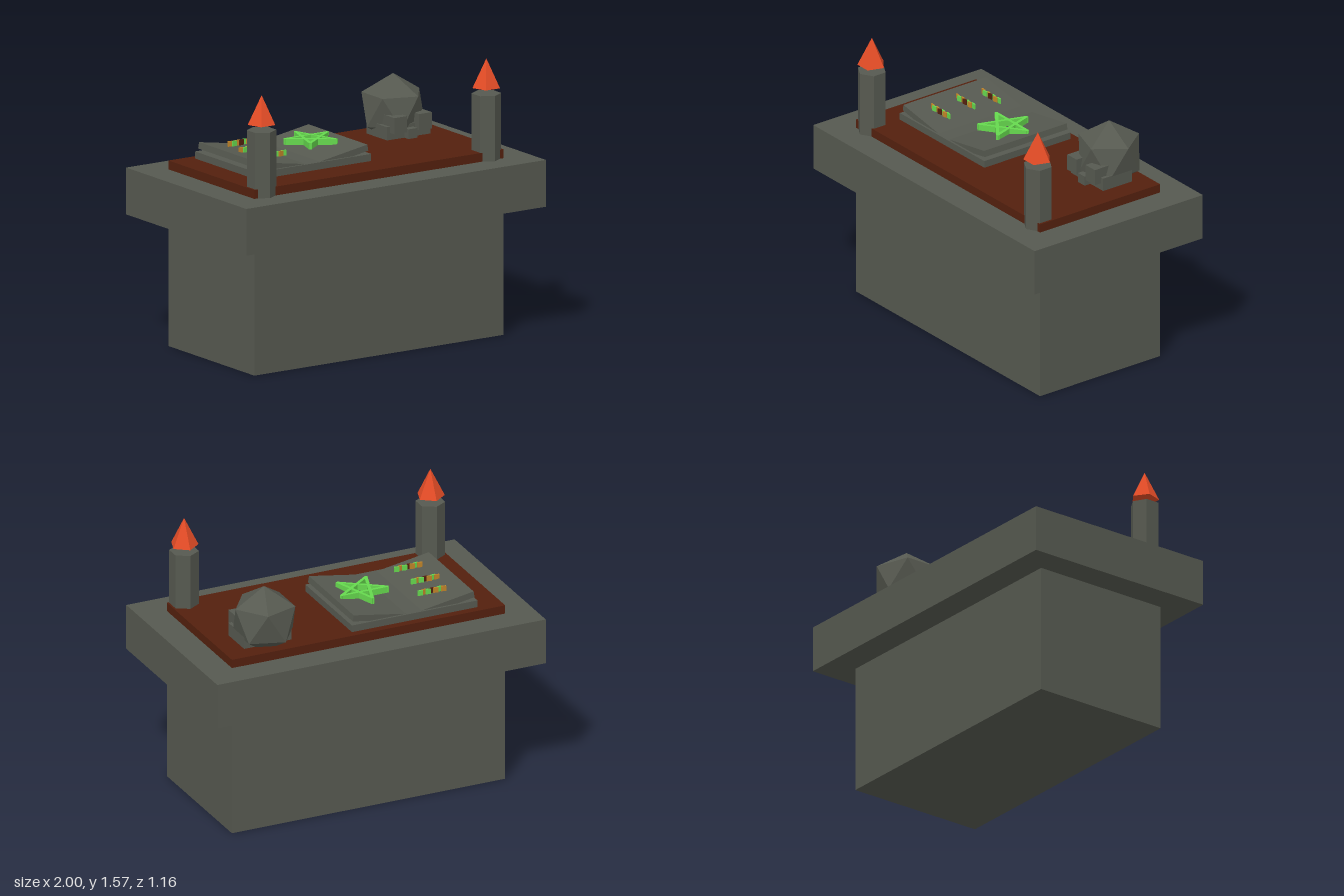
import * as THREE from 'three';

const mat = (name, color) => {
  const m = new THREE.MeshStandardMaterial({ color });
  m.name = name;
  m.flatShading = true;
  return m;
};

export function createModel() {
  const stone = mat('grey stone', 0x565950);
  const cloth = mat('dark red cloth', 0x54200e);
  const flame = mat('flame orange', 0xe44c26);
  const green = mat('glowing green', 0x66d84e);
  const amber = mat('amber', 0xc08428);

  const model = new THREE.Group();
  model.name = 'altar';

  const add = (parent, name, geometry, material, x, y, z) => {
    const m = new THREE.Mesh(geometry, material);
    m.name = name;
    m.position.set(x, y, z);
    parent.add(m);
    return m;
  };
  // Box given by its extents on each axis
  const box = (parent, name, material, [x0, x1], [y0, y1], [z0, z1]) =>
    add(parent, name, new THREE.BoxGeometry(x1 - x0, y1 - y0, z1 - z0), material,
      (x0 + x1) / 2, (y0 + y1) / 2, (z0 + z1) / 2);
  const group = (name) => {
    const g = new THREE.Group();
    g.name = name;
    model.add(g);
    return g;
  };

  // Altar body
  box(model, 'base', stone, [-0.832, 0.832], [0, 0.735], [-0.416, 0.416]);
  box(model, 'topSlab', stone, [-1, 1], [0.735, 1], [-0.582, 0.582]);
  box(model, 'altarCloth', cloth, [-0.832, 0.832], [1, 1.05], [-0.416, 0.416]);

  // Candles with floating five-sided flames
  for (const side of [-1, 1]) {
    const candle = group(side > 0 ? 'leftCandle' : 'rightCandle');
    add(candle, 'candleStick', new THREE.CylinderGeometry(0.082, 0.082, 0.37, 6), stone, side * 0.75, 1.185, 0.368);
    const f = add(candle, 'flame', new THREE.ConeGeometry(0.08, 0.163, 5), flame, side * 0.75, 1.485, 0.368);
    f.rotation.y = Math.PI;
  }

  // Skull: faceted cranium with one vertex straight up
  const skull = group('skull');
  const cranium = new THREE.IcosahedronGeometry(0.195, 0);
  cranium.rotateZ(-Math.atan(2 / (1 + Math.sqrt(5))));
  add(skull, 'cranium', cranium, stone, 0.565, 1.187, -0.267);
  box(skull, 'jaw', stone, [0.42, 0.71], [1.05, 1.125], [-0.315, -0.115]);
  for (const x of [0.482, 0.648])
    box(skull, 'eyeBlock', stone, [x - 0.042, x + 0.042], [1.09, 1.182], [-0.2, -0.073]);
  box(skull, 'nose', stone, [0.535, 0.595], [1.05, 1.105], [-0.2, -0.075]);

  // Open book
  const book = group('book');
  box(book, 'bookCover', stone, [-0.685, 0.08], [1.05, 1.09], [-0.372, 0.225]);
  for (const side of [-1, 1]) {
    const page = add(book, 'page', new THREE.BoxGeometry(0.365, 0.036, 0.572), stone,
      -0.302 + side * 0.188, 1.095, -0.073);
    page.rotation.z = side * 0.165;
  }

  // Five-pointed star, each bar joining every second point
  const star = group('star');
  const R = 0.146;
  const point = (i) => {
    const a = (i * Math.PI * 4) / 5;
    return new THREE.Vector2(-0.118 + R * Math.sin(a), -0.072 - R * Math.cos(a));
  };
  for (let i = 0; i < 5; i++) {
    const a = point(i), b = point(i + 1);
    const bar = add(star, 'starBar', new THREE.BoxGeometry(a.distanceTo(b) + 0.012, 0.035, 0.018), green,
      (a.x + b.x) / 2, 1.138, (a.y + b.y) / 2);
    bar.rotation.y = -Math.atan2(b.y - a.y, b.x - a.x);
  }

  // Three lines of writing made of alternating coloured strokes
  for (const [x, z] of [[-0.468, -0.24], [-0.5, -0.087], [-0.485, 0.097]]) {
    const line = group('writingLine');
    const strokes = [amber, green, amber, cloth, green, amber, green];
    strokes.forEach((m, i) => {
      const s = add(line, 'stroke', new THREE.BoxGeometry(0.03, 0.03, 0.009), m,
        x + (i - 3) * 0.0235, 1.139, z + (i % 2 ? 0.003 : -0.003));
      s.rotation.y = i % 2 ? 0.15 : -0.15;
    });
  }
  return model;
}
